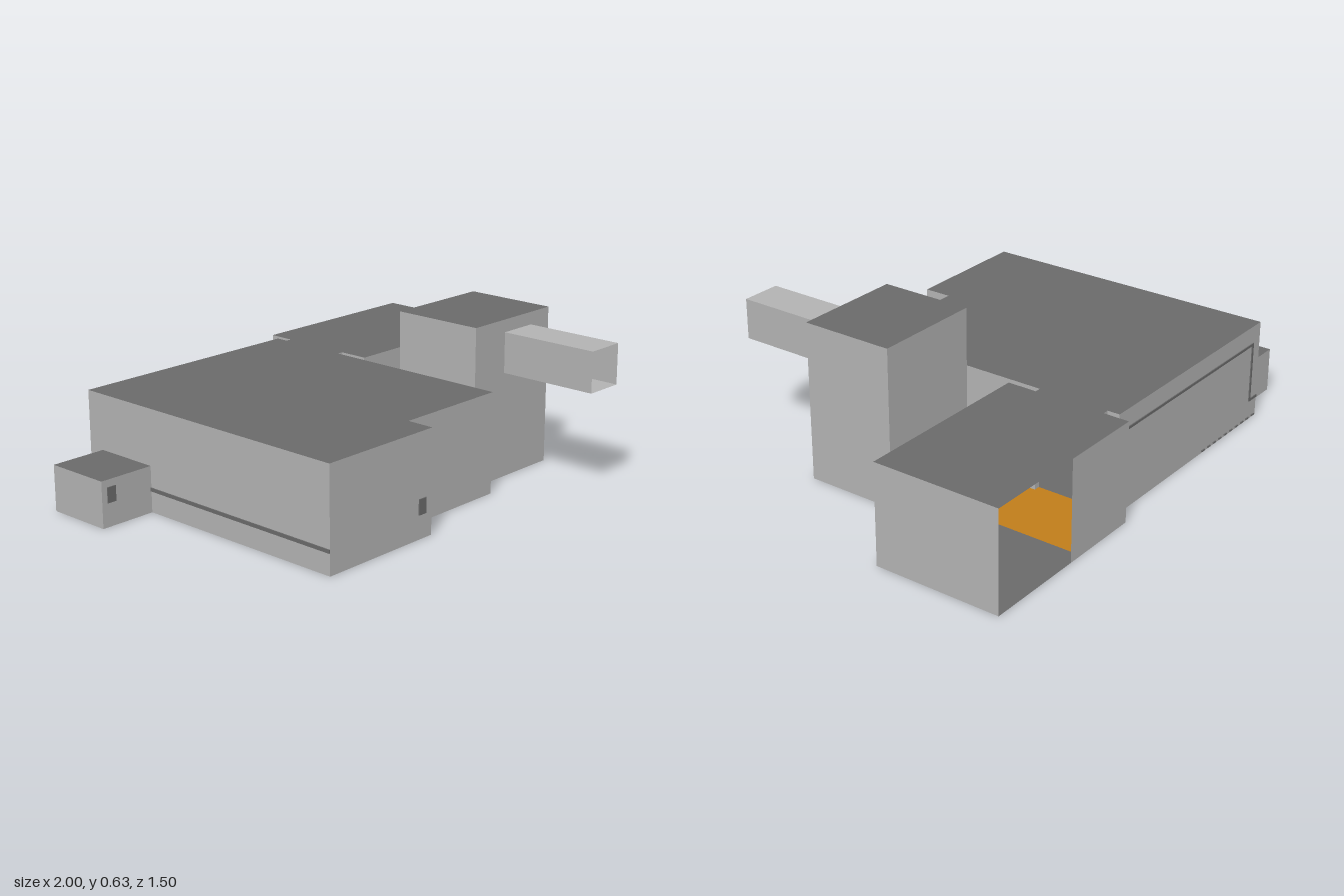
import * as THREE from 'three';

const mat = (name, color) => new THREE.MeshStandardMaterial({ name, color, side: THREE.DoubleSide });

export function createModel() {
  const model = new THREE.Group();
  model.name = 'bunkerRooms';
  const wallGrey = mat('wallGrey', 0xb2b2b2);
  const darkGrey = mat('darkGrey', 0x6a6a6a);
  const orange = mat('orangeFloor', 0xc07d1a);

  const add = (parent, name, geometry, material, x = 0, y = 0, z = 0) => {
    const mesh = new THREE.Mesh(geometry, material);
    mesh.name = name;
    mesh.position.set(x, y, z);
    parent.add(mesh);
    return mesh;
  };

  // Horizontal sheet from a list of [x, z] corners
  const sheet = (parent, name, outline, y, material) => {
    const shape = new THREE.Shape(outline.map(([x, z]) => new THREE.Vector2(x, z)));
    add(parent, name, new THREE.ShapeGeometry(shape).rotateX(Math.PI / 2), material, 0, y, 0);
  };

  // Upright sheet between two floor points
  const wall = (parent, name, [x0, z0], [x1, z1], y0, y1, material) => {
    const geometry = new THREE.PlaneGeometry(Math.hypot(x1 - x0, z1 - z0), y1 - y0);
    const mesh = add(parent, name, geometry, material, (x0 + x1) / 2, (y0 + y1) / 2, (z0 + z1) / 2);
    mesh.rotation.y = -Math.atan2(z1 - z0, x1 - x0);
  };

  // Thin-walled room; edges listed in open are left out
  const room = (name, outline, y0, y1, { open = [], top = darkGrey, bottom = darkGrey } = {}) => {
    const group = new THREE.Group();
    group.name = name;
    outline.forEach((p, i) => {
      if (!open.includes(i)) wall(group, 'wall', p, outline[(i + 1) % outline.length], y0, y1, wallGrey);
    });
    sheet(group, 'ceiling', outline, y1, top);
    if (bottom) sheet(group, 'floor', outline, y0, bottom);
    model.add(group);
    return group;
  };
  const rect = (x0, x1, z0, z1) => [[x0, z0], [x1, z0], [x1, z1], [x0, z1]];

  // Main hall with a shallow front extension and a doorway on its left side
  room('mainHall', [
    [-0.77, -0.7], [0.225, -0.7], [0.225, -0.65], [0.225, -0.36],
    [0.225, 0.43], [-0.25, 0.43], [-0.25, 0.54], [-0.77, 0.54],
  ], 0, 0.4, { open: [2] });

  // Short passage to the side room
  room('passage', rect(0.225, 0.25, -0.65, -0.36), 0, 0.4, { open: [1, 3], bottom: orange });

  // Side room: half of the back is open, floor in two colours
  const side = room('sideRoom', [
    [0.25, -0.755], [0.59, -0.755], [1, -0.755], [1, -0.24],
    [0.25, -0.24], [0.25, -0.36], [0.25, -0.65],
  ], 0, 0.4, { open: [1, 5], bottom: null });
  sheet(side, 'orangeFloor', rect(0.25, 0.53, -0.755, -0.24), 0, orange);
  sheet(side, 'greyFloor', rect(0.53, 1, -0.755, -0.24), 0, darkGrey);

  // Tall room, its open-ended duct and the vent at the duct's inner end
  room('tallRoom', rect(0.225, 0.67, -0.03, 0.345), 0, 0.63);
  room('duct', rect(0.4, 0.56, 0.345, 0.75), 0.42, 0.58, { open: [0, 2], top: wallGrey, bottom: wallGrey });
  const vent = new THREE.Shape();
  const a = 0.074, b = 0.048;
  [[b, a], [a, b], [a, -b], [b, -a], [-b, -a], [-a, -b], [-a, b], [-b, a]]
    .forEach(([x, y], i) => (i ? vent.lineTo(x, y) : vent.moveTo(x, y)));
  add(model, 'vent', new THREE.ShapeGeometry(vent), darkGrey, 0.476, 0.503, 0.348);

  // Low annex
  room('annex', rect(-1, -0.77, -0.63, -0.36), 0, 0.18);

  // Small front panels
  for (const [x, z] of [[-0.957, -0.358], [-0.3, 0.542]]) {
    add(model, 'frontPanel', new THREE.BoxGeometry(0.038, 0.06, 0.004), darkGrey, x, 0.122, z);
  }

  // Conduit along the back and right walls
  const strip = (w, h, d, x, y, z) => add(model, 'conduit', new THREE.BoxGeometry(w, h, d), darkGrey, x, y, z);
  strip(0.01, 0.2, 0.004, 0.175, 0.225, -0.702);
  strip(0.9, 0.01, 0.004, -0.27, 0.325, -0.702);
  strip(0.01, 0.25, 0.004, -0.715, 0.205, -0.702);
  strip(0.055, 0.01, 0.004, -0.7425, 0.085, -0.702);
  strip(0.004, 0.014, 0.9, -0.772, 0.09, 0.09);

  // Rivets low on the back wall and on the annex
  for (let i = 0; i < 10; i++) {
    add(model, 'rivet', new THREE.BoxGeometry(0.02, 0.006, 0.005), darkGrey, -0.37 - i * 0.042, 0.008, -0.702);
  }
  for (const x of [-0.84, -0.89]) {
    add(model, 'annexRivet', new THREE.BoxGeometry(0.01, 0.012, 0.006), darkGrey, x, 0.14, -0.632);
  }
  return model;
}
